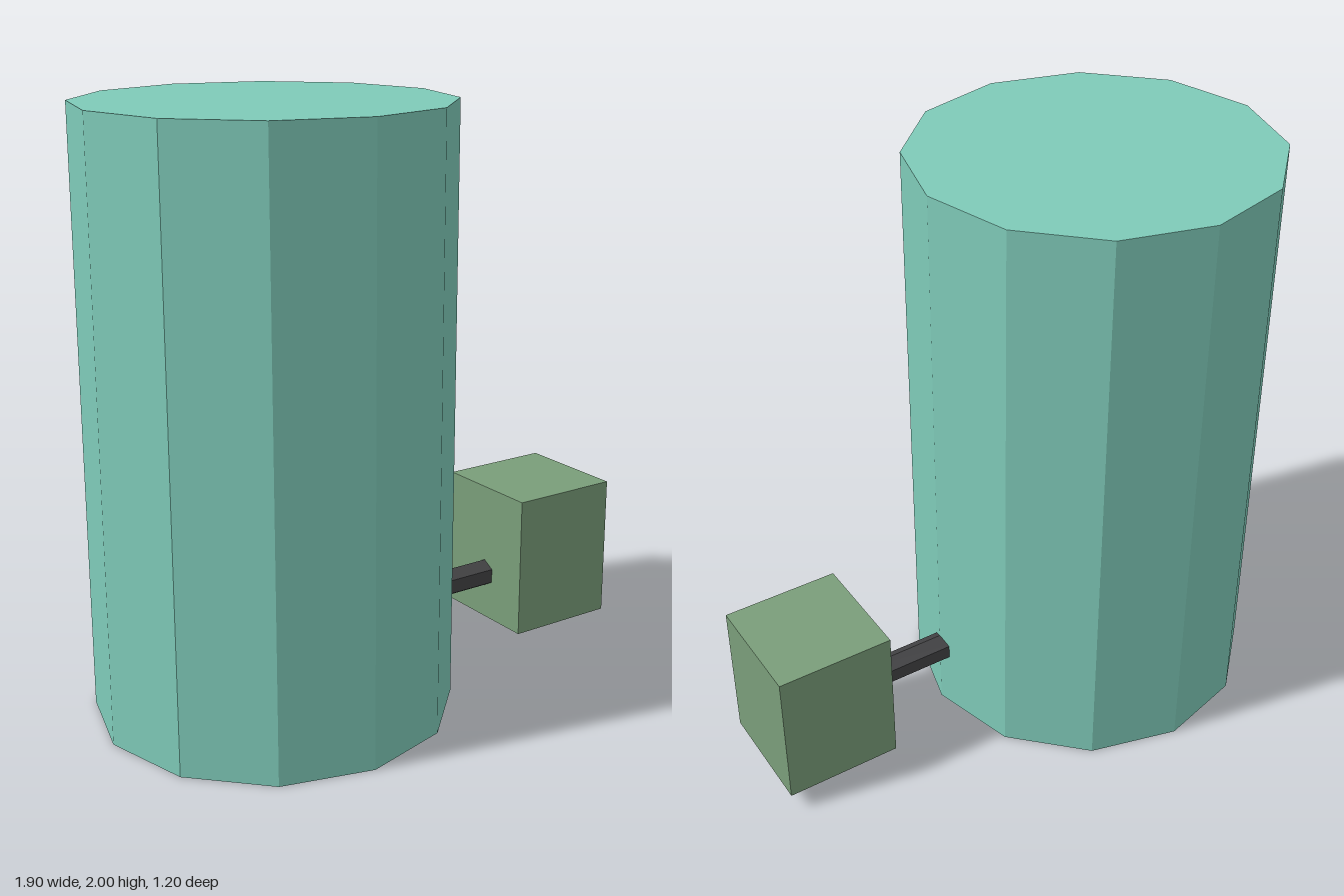
import * as THREE from 'three';

export function createModel() {
  const group = new THREE.Group();

  const makeMaterial = (name, color) => {
    const material = new THREE.MeshStandardMaterial({ color, flatShading: true });
    material.name = name;
    return material;
  };
  const teal = makeMaterial('teal', 0x7fcbb9);
  const sage = makeMaterial('sage green', 0x7a9e7a);
  const charcoal = makeMaterial('charcoal', 0x444446);

  const add = (name, geometry, material, x, y, z) => {
    const mesh = new THREE.Mesh(geometry, material);
    mesh.name = name;
    mesh.position.set(x, y, z);
    group.add(mesh);
    return mesh;
  };

  // Upright twelve-sided tank
  add('tank', new THREE.CylinderGeometry(0.6, 0.6, 2, 12), teal, -0.35, 1, 0);

  // Box beside the tank
  add('box', new THREE.BoxGeometry(0.4, 0.5, 0.4), sage, 0.75, 0.32, 0);

  // Six-sided pipe joining the two, with an edge on top
  const pipe = new THREE.CylinderGeometry(0.05, 0.05, 0.4, 6);
  pipe.rotateY(Math.PI / 2).rotateZ(Math.PI / 2);
  add('pipe', pipe, charcoal, 0.4, 0.24, 0);

  return group;
}
